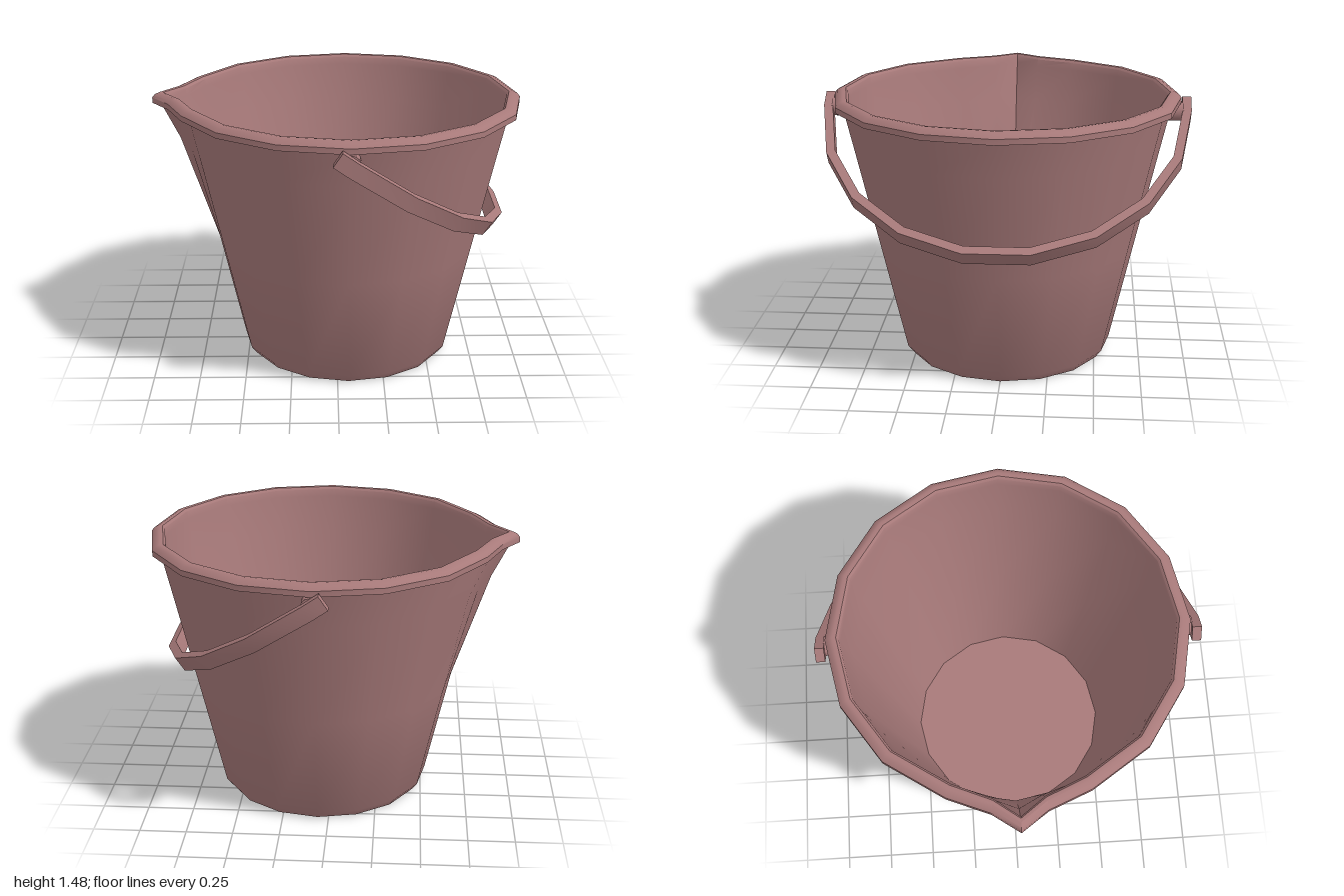
import * as THREE from 'three';
import { toCreasedNormals } from 'three/addons/utils/BufferGeometryUtils.js';

const CENTRE_X = 0.06;
const CREASE = 0.6;

// Sixteen-sided lathe-like shell with one corner pulled out into a pouring spout.
function bucketGeometry() {
  // [radius, height]: underside, outer wall, rolled rim, inner wall, floor
  const profile = [
    [0, 0], [0.55, 0], [0.585, 0.045], [0.719, 0.64], [0.85, 1.22], [0.895, 1.415],
    [0.94, 1.415], [0.94, 1.445], [0.925, 1.463], [0.9, 1.475], [0.88, 1.473], [0.868, 1.46],
    [0.862, 1.42], [0.82, 1.22], [0.69, 0.64], [0.54, 0.04], [0, 0.04],
  ];

  // columns: angle in degrees, radius factor, outward pull at the rim
  const columns = [];
  for (let k = 0; k < 16; k++) {
    if (k === 8) columns.push([171.7, 0.982, 0.047]);
    columns.push([k * 22.5, 1, k === 8 ? 0.12 : 0]);
    if (k === 8) columns.push([188.3, 0.982, 0.047]);
  }
  const n = columns.length;

  // the spout fades out down the wall
  const spout = (y) => {
    if (y <= 0.64) return 0;
    if (y <= 1.22) return 0.55 * (y - 0.64) / 0.58;
    return Math.min(1, 0.55 + 0.45 * (y - 1.22) / 0.195);
  };

  const positions = [];
  const index = [];
  profile.forEach(([r, y]) => {
    for (const [deg, factor, pull] of columns) {
      const a = THREE.MathUtils.degToRad(deg);
      const radius = r * factor + pull * spout(y);
      positions.push(CENTRE_X + radius * Math.cos(a), y, radius * Math.sin(a));
    }
  });
  for (let i = 0; i < profile.length - 1; i++) {
    for (let j = 0; j < n; j++) {
      const j2 = (j + 1) % n;
      const a = i * n + j, b = a + n, c = i * n + j2, d = c + n;
      if (profile[i][0] > 0) index.push(a, b, c);
      if (profile[i + 1][0] > 0) index.push(b, d, c);
    }
  }
  const geometry = new THREE.BufferGeometry();
  geometry.setAttribute('position', new THREE.Float32BufferAttribute(positions, 3));
  geometry.setIndex(index);
  return toCreasedNormals(geometry, CREASE);
}

// Flat bowed strip, drawn in its own plane and then tilted down towards +x.
function handleGeometry() {
  const steps = 9, straight = 0.1, width = 0.085;
  const arc = (rx, ry) => {
    const points = [[rx, 0]];
    for (let i = 0; i <= steps; i++) {
      const a = Math.PI * i / steps;
      points.push([rx * Math.cos(a), straight + ry * Math.sin(a)]);
    }
    points.push([-rx, 0]);
    return points.map(([x, y]) => new THREE.Vector2(x, y));
  };
  const outline = [...arc(0.995, 0.99), ...arc(0.947, 0.942).reverse()];
  const geometry = new THREE.ExtrudeGeometry(new THREE.Shape(outline), {
    depth: width, bevelEnabled: false,
  });
  geometry.translate(0, 0, -width / 2);

  const across = new THREE.Vector3(0, 0, 1);
  const along = new THREE.Vector3(0.826, -0.564, 0).normalize();
  const normal = new THREE.Vector3().crossVectors(across, along);
  const frame = new THREE.Matrix4().makeBasis(across, along, normal);
  geometry.applyMatrix4(frame.setPosition(-0.005, 1.405, 0));
  return toCreasedNormals(geometry, CREASE);
}

export function createModel() {
  const group = new THREE.Group();
  group.name = 'bucket';
  const material = new THREE.MeshStandardMaterial({ color: 0xa87a7a });

  const add = (name, geometry) => {
    const mesh = new THREE.Mesh(geometry, material);
    mesh.name = name;
    group.add(mesh);
    return mesh;
  };

  add('bucketBody', bucketGeometry());
  add('handle', handleGeometry());

  // pivot pins joining the handle to the wall
  for (const [name, side] of [['frontPivot', 1], ['backPivot', -1]]) {
    const pin = add(name, new THREE.CylinderGeometry(0.05, 0.05, 0.085, 12));
    pin.rotation.x = Math.PI / 2;
    pin.position.set(CENTRE_X, 1.365, side * 0.91);
  }
  return group;
}
